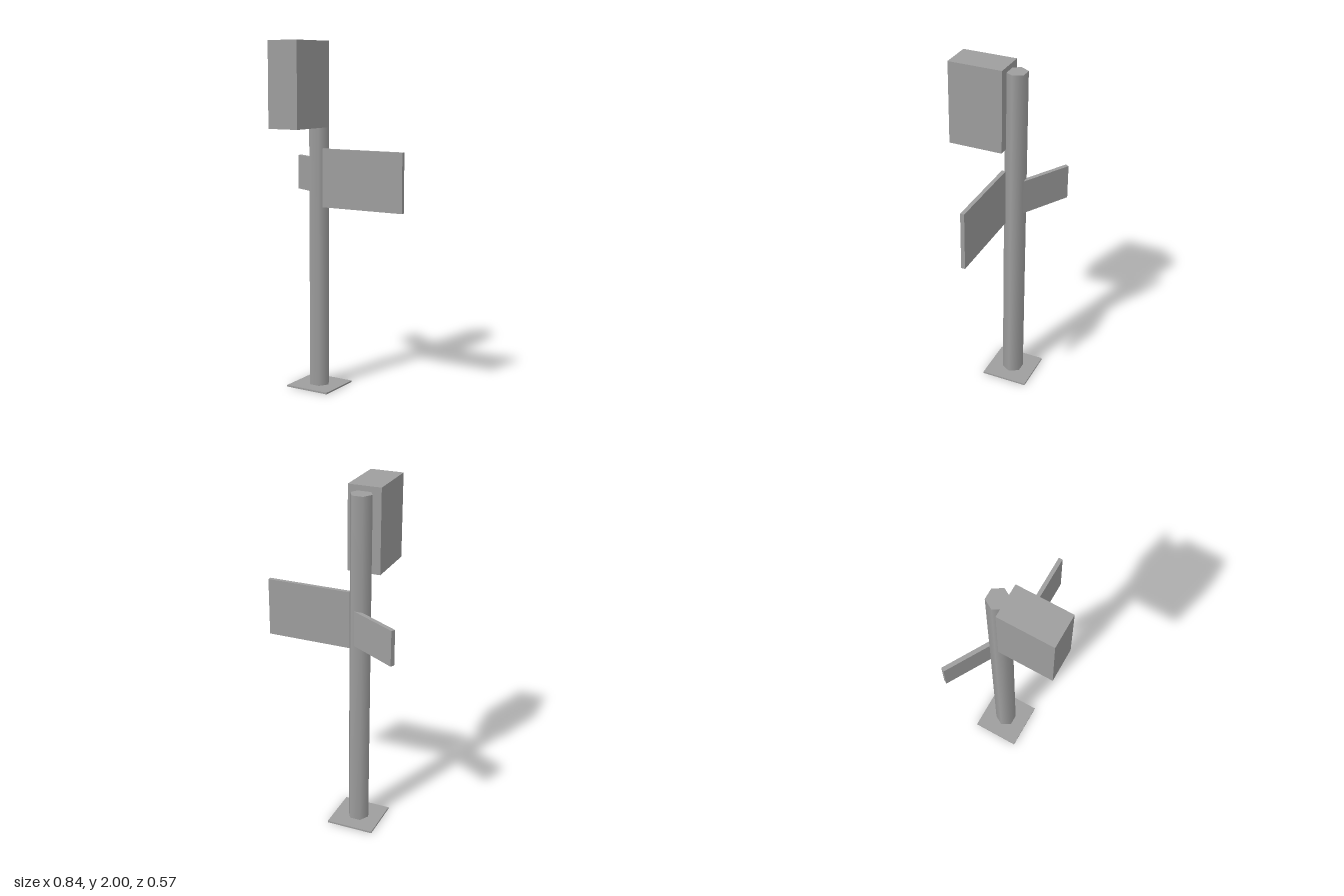
import * as THREE from 'three';

const material = new THREE.MeshStandardMaterial({ color: 0x9e9e9e });

function box(name, size, position) {
  const mesh = new THREE.Mesh(new THREE.BoxGeometry(...size), material);
  mesh.name = name;
  mesh.position.set(...position);
  return mesh;
}

export function createModel() {
  const group = new THREE.Group();
  group.name = 'signPost';
  const px = -0.149, pz = -0.073; // pole axis

  // Square foot plate
  group.add(box('basePlate', [0.275, 0.01, 0.275], [px, 0.005, pz]));

  // Six-sided pole with softly shaded sides, corners pointing to both sides
  const poleGeometry = new THREE.CylinderGeometry(0.0625, 0.0625, 1.96, 6, 1, false, Math.PI / 2);
  const pole = new THREE.Mesh(poleGeometry, material);
  pole.name = 'pole';
  pole.position.set(px, 0.99, pz);
  group.add(pole);

  // Deep cabinet at the top, in front of the pole
  group.add(box('cabinet', [0.189, 0.477, 0.316], [-0.1495, 1.7615, 0.127]));

  // Large panel on the left side
  group.add(box('largePanel', [0.512, 0.333, 0.023], [0.166, 1.2345, -0.0285]));

  // Small panel, angled backwards, with its inner end sunk in the pole
  const smallPanel = box('smallPanel', [0.33, 0.203, 0.0245], [-0.2736, 1.232, -0.193]);
  smallPanel.rotation.y = -Math.PI / 6;
  group.add(smallPanel);

  return group;
}
